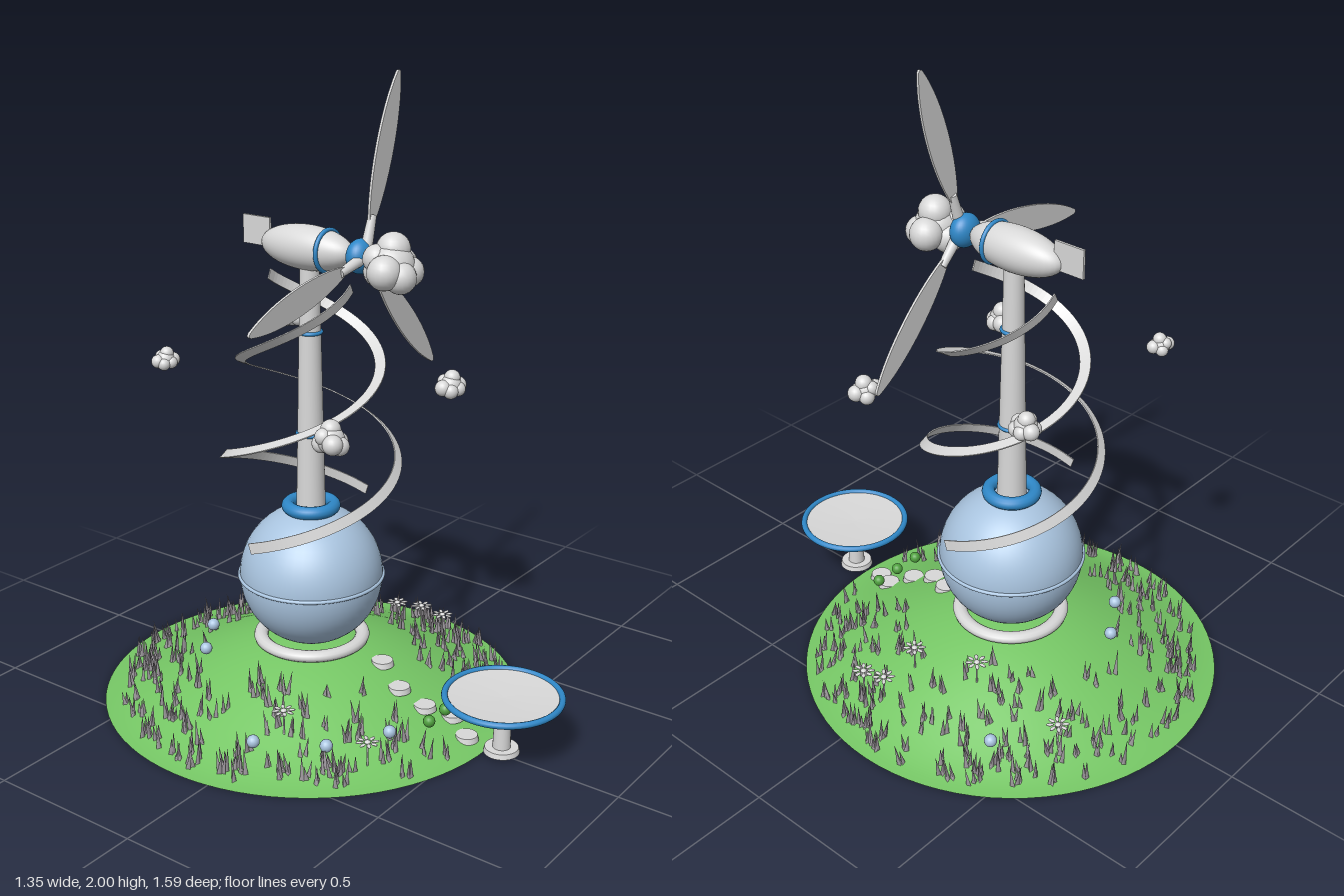
import * as THREE from 'three';
import { mergeGeometries } from 'three/addons/utils/BufferGeometryUtils.js';

const mat = (name, color, side = THREE.FrontSide) => {
  const m = new THREE.MeshStandardMaterial({ color, side });
  m.name = name;
  return m;
};

export function createModel() {
  const white = mat('offWhite', 0xd8d8d8);
  const blue = mat('accentBlue', 0x2f88c8);
  const paleBlue = mat('paleBlue', 0xa9c4df);
  const grassGreen = mat('meadowGreen', 0x76c765, THREE.DoubleSide);
  const bushGreen = mat('bushGreen', 0x4fa03e);
  const bladeGrey = mat('grassGrey', 0xb2acb2);

  const model = new THREE.Group();
  const CZ = -0.12, R = 0.675;
  const add = (name, geo, material, x = 0, y = 0, z = 0, parent = model) => {
    const m = new THREE.Mesh(geo, material);
    m.name = name;
    m.position.set(x, y, z);
    parent.add(m);
    return m;
  };
  const ring = (name, r, tube, material, y, z = CZ, parent = model) =>
    add(name, new THREE.TorusGeometry(r, tube, 12, 64).rotateX(Math.PI / 2), material, 0, y, z, parent);
  const lathe = (pts, seg = 48) => new THREE.LatheGeometry(pts.map(p => new THREE.Vector2(...p)), seg);
  const moved = (g, x, y, z) => g.translate(x, y, z);
  let seed = 7;
  const rnd = () => (seed = (seed * 16807) % 2147483647) / 2147483647;

  // Meadow mound, an open bell-shaped shell
  const height = (x, z) => 0.2 * Math.pow(Math.max(0, 1 - (x * x + (z - CZ) ** 2) / (R * R)), 1.7);
  const mound = [];
  for (let i = 24; i >= 0; i--) mound.push([R * i / 24, height(R * i / 24, CZ)]);
  add('meadow', lathe(mound, 80), grassGreen, 0, 0, CZ);

  // Grass blades, leaving the tank and the path clear
  const blades = [];
  while (blades.length < 560) {
    const a = rnd() * Math.PI * 2, r = 0.25 + 0.39 * Math.sqrt(rnd());
    const x = r * Math.cos(a), z = CZ + r * Math.sin(a);
    if (Math.abs(x) < 0.12 && z > 0) continue;
    for (let k = 0; k < 2; k++) {
      const h = 0.045 + rnd() * 0.045;
      const g = new THREE.ConeGeometry(0.009, h, 3).translate(0, h / 2 - 0.004, 0);
      g.rotateX((rnd() - 0.5) * 0.35).rotateZ((rnd() - 0.5) * 0.35).rotateY(rnd() * 6.28);
      blades.push(moved(g, x + (rnd() - 0.5) * 0.02, height(x, z), z + (rnd() - 0.5) * 0.02));
    }
  }
  add('grassBlades', mergeGeometries(blades), bladeGrey);

  // Daisies
  [[0.28, -0.55], [0.3, -0.24], [0.36, -0.03], [0.48, -0.01], [0.49, 0.07], [-0.4, 0.08], [-0.33, 0.34]]
    .forEach(([x, z]) => {
      const parts = [new THREE.CylinderGeometry(0.003, 0.003, 0.08, 6).translate(0, -0.04, 0),
        new THREE.SphereGeometry(0.01, 10, 8).scale(1, 0.6, 1)];
      for (let i = 0; i < 8; i++) {
        parts.push(new THREE.SphereGeometry(0.013, 8, 6).scale(1, 0.25, 0.5)
          .translate(0.024, 0, 0).rotateY(i * Math.PI / 4));
      }
      add('daisy', mergeGeometries(parts), white, x, height(x, z) + 0.08, z);
    });

  // Small round buds and bushes
  [[-0.51, 0.05], [-0.26, -0.35], [-0.12, -0.44], [0.44, -0.42], [-0.4, 0.24], [-0.23, 0.35]]
    .forEach(([x, z]) => add('bud', new THREE.SphereGeometry(0.02, 16, 12), paleBlue, x, height(x, z) + 0.055, z));
  [-0.09, 0, 0.09].forEach(x => add('bush', new THREE.SphereGeometry(0.019, 16, 12), bushGreen, x, 0.085, 0.4));

  // Stepping stones
  [[0.03, 0.14], [-0.02, 0.24], [-0.01, 0.33], [0.04, 0.4], [0, 0.48]].forEach(([x, z]) =>
    add('steppingStone', new THREE.CylinderGeometry(0.034, 0.038, 0.018, 20), white, x, height(x, z) + 0.003, z));

  // Tank
  ring('tankFoot', 0.165, 0.023, white, 0.192).scale.y = 0.8;
  add('tank', new THREE.SphereGeometry(0.23, 48, 32), paleBlue, 0, 0.41, CZ);
  ring('tankSeam', 0.231, 0.006, paleBlue, 0.41);
  ring('tankCollar', 0.073, 0.021, blue, 0.642);

  // Tower
  add('tower', new THREE.CylinderGeometry(0.03, 0.047, 0.82, 32), white, 0, 1.02, CZ);
  ring('towerBand', 0.041, 0.006, blue, 0.885);
  ring('towerBand', 0.035, 0.006, blue, 1.213);

  // Two flat ribbons spiralling up round the tower
  const band = new THREE.Shape([[-0.002, -0.017], [0.002, -0.017], [0.002, 0.017], [-0.002, 0.017]]
    .map(p => new THREE.Vector2(...p)));
  for (const s of [1, -1]) {
    const pts = [];
    for (let i = 0; i <= 40; i++) {
      const t = i / 40, a = t * Math.PI * 2.5, r = 0.305 - 0.1 * t - 0.048 * t * t;
      pts.push(new THREE.Vector3(-s * r * Math.cos(a), 0.597 + 0.775 * t, CZ + s * r * Math.sin(a)));
    }
    add('windRibbon', new THREE.ExtrudeGeometry(band,
      { steps: 140, bevelEnabled: false, extrudePath: new THREE.CatmullRomCurve3(pts) }), white);
  }

  // Nacelle with band and tail fin
  add('nacelle', new THREE.SphereGeometry(0.069, 40, 28).scale(1, 1, 2.45), white, 0, 1.475, -0.128);
  add('nacelleBand', new THREE.TorusGeometry(0.063, 0.007, 12, 48), blue, 0, 1.475, -0.05);
  add('tailFin', new THREE.BoxGeometry(0.008, 0.09, 0.105), white, 0, 1.503, -0.322);

  // Rotor
  const rotor = new THREE.Group();
  rotor.name = 'rotor';
  rotor.position.set(0, 1.475, 0.085);
  model.add(rotor);
  add('hub', new THREE.SphereGeometry(0.053, 32, 24).scale(1, 1, 0.75), blue, 0, 0, -0.015, rotor);
  const outline = new THREE.Shape();
  outline.moveTo(-0.012, 0.1);
  outline.bezierCurveTo(-0.05, 0.22, -0.055, 0.42, -0.008, 0.545);
  outline.quadraticCurveTo(0, 0.556, 0.008, 0.545);
  outline.bezierCurveTo(0.055, 0.42, 0.05, 0.22, 0.012, 0.1);
  const bladeGeo = new THREE.ExtrudeGeometry(outline, { depth: 0.008, bevelEnabled: false, curveSegments: 16 })
    .translate(0, 0, -0.004);
  for (let i = 0; i < 3; i++) {
    const arm = new THREE.Group();
    arm.name = 'blade';
    arm.rotation.z = THREE.MathUtils.degToRad(-17.5 + 120 * i);
    rotor.add(arm);
    add('bladeRoot', new THREE.CylinderGeometry(0.013, 0.018, 0.1, 16), white, 0, 0.075, 0, arm);
    add('bladePanel', bladeGeo, white, 0, 0, 0, arm);
  }

  // Puffy clouds made of overlapping balls
  const puffs = [[0, 0, 0, 0.62], [-0.55, -0.05, 0.1, 0.45], [0.55, -0.05, -0.05, 0.45], [0.1, 0.42, 0, 0.45],
    [-0.25, -0.2, 0.4, 0.42], [0.28, -0.15, 0.35, 0.4], [0.1, -0.2, -0.4, 0.42], [-0.2, 0.2, -0.3, 0.38]];
  const cloud = (x, y, z, s, turn) => {
    const g = mergeGeometries(puffs.map(p =>
      moved(new THREE.SphereGeometry(p[3], 20, 14), p[0], p[1], p[2])));
    const m = add('cloud', g, white, x, y, z);
    m.scale.setScalar(s);
    m.rotation.y = turn;
  };
  cloud(0, 1.46, 0.18, 0.115, 0.1);
  cloud(-0.315, 1.02, 0.195, 0.067, 0.6);
  cloud(0.31, 1.02, 0.195, 0.058, -0.4);
  cloud(-0.315, 1.145, -0.43, 0.046, -0.5);
  cloud(0.31, 1.145, -0.43, 0.055, 1.1);

  // Round dish on a short stand
  const dish = new THREE.Group();
  dish.name = 'dishTable';
  dish.position.z = 0.605;
  model.add(dish);
  add('dishBowl', lathe([[0, 0.152], [0.06, 0.154], [0.12, 0.167], [0.16, 0.183], [0.178, 0.2],
    [0.174, 0.2], [0.1, 0.194], [0, 0.192]]), white, 0, 0, 0, dish);
  ring('dishRim', 0.177, 0.01, blue, 0.198, 0, dish);
  add('dishPole', new THREE.CylinderGeometry(0.024, 0.028, 0.145, 24), white, 0, 0.09, 0, dish);
  add('dishFoot', new THREE.CylinderGeometry(0.052, 0.056, 0.016, 32), white, 0, 0.02, 0, dish);

  return model;
}
